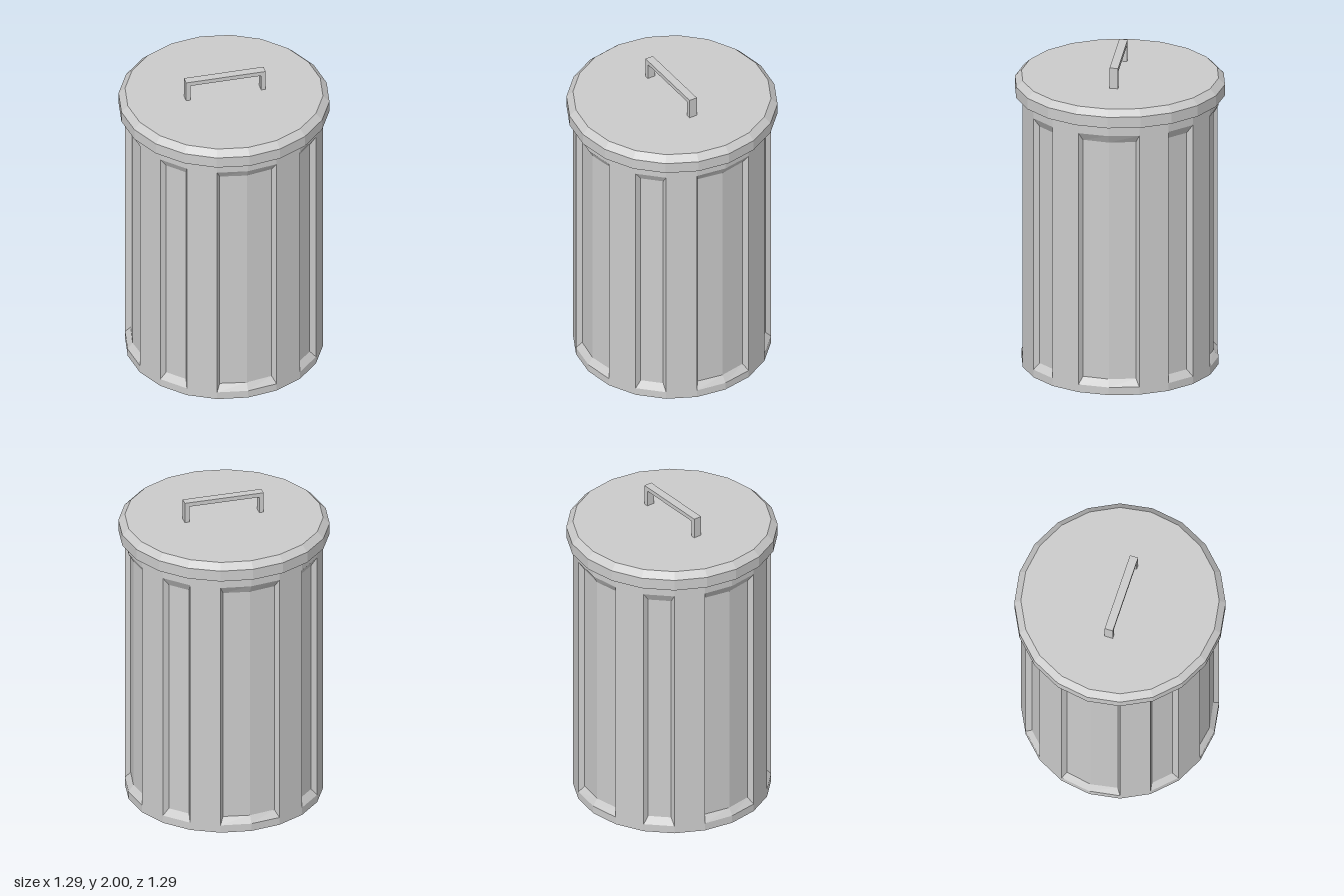
import * as THREE from 'three';

const SIDES = 20, STEP = (Math.PI * 2) / SIDES;
const R = 0.605;                       // body radius
const INSET = 0.024, DEPTH = 0.03;     // panel border width and recess
const Y = { base: 0, low: 0.05, lowIn: 0.093, highIn: 1.637, high: 1.69, top: 1.8 };

const material = new THREE.MeshStandardMaterial({ color: 0xcccccc, flatShading: true });

function addMesh(parent, name, geometry) {
  const mesh = new THREE.Mesh(geometry, material);
  mesh.name = name;
  parent.add(mesh);
  return mesh;
}

// Body wall: plain ribs alternating with recessed panels one or two facets wide
function bodyGeometry() {
  const pos = [];
  const rim = (k) => [R * Math.sin(k * STEP), R * Math.cos(k * STEP)];
  const at = (p, y) => [p[0], y, p[1]];
  const quad = (a, b, c, d) => pos.push(...a, ...b, ...c, ...a, ...c, ...d);
  // strip between a lower and an upper edge, running anticlockwise seen from above
  const strip = (a0, b0, y0, a1, b1, y1) => quad(at(a0, y0), at(b0, y0), at(b1, y1), at(a1, y1));

  function panel(start, count) {
    const mid = (start + count / 2) * STEP;
    const m = [Math.sin(mid), Math.cos(mid)], t = [m[1], -m[0]];
    const outer = [], inner = [];
    for (let i = 0; i <= count; i++) {
      const p = rim(start + i);
      const shift = i === 0 ? INSET : i === count ? -INSET : 0;
      outer.push(p);
      inner.push([0, 1].map((c) => p[c] + shift * t[c] - DEPTH * m[c]));
    }
    for (let i = 0; i < count; i++) {
      const [p, q, a, b] = [outer[i], outer[i + 1], inner[i], inner[i + 1]];
      strip(a, b, Y.lowIn, a, b, Y.highIn);
      strip(p, q, Y.low, a, b, Y.lowIn);
      strip(a, b, Y.highIn, p, q, Y.high);
    }
    // side walls of the recess
    const [p, a, q, b] = [outer[0], inner[0], outer[count], inner[count]];
    quad(at(p, Y.low), at(a, Y.lowIn), at(a, Y.highIn), at(p, Y.high));
    quad(at(b, Y.lowIn), at(q, Y.low), at(q, Y.high), at(b, Y.highIn));
  }

  // bottom and top bands
  for (let k = 0; k < SIDES; k++) {
    const p = rim(k), q = rim(k + 1);
    strip(p, q, Y.base, p, q, Y.low);
    strip(p, q, Y.high, p, q, Y.top);
  }
  // each quarter: wide panel, rib, narrow panel, rib
  for (let k = 0; k < SIDES; k += 5) {
    panel(k - 1, 2);
    panel(k + 2, 1);
    for (const r of [k + 1, k + 3]) strip(rim(r), rim(r + 1), Y.low, rim(r), rim(r + 1), Y.high);
  }

  const geometry = new THREE.BufferGeometry();
  geometry.setAttribute('position', new THREE.Float32BufferAttribute(pos, 3));
  geometry.computeVertexNormals();
  return geometry;
}

export function createModel() {
  const group = new THREE.Group();
  group.name = 'trashCan';

  addMesh(group, 'body', bodyGeometry());

  // floor, facing down, with corners aligned to the wall
  const floor = addMesh(group, 'floor', new THREE.CircleGeometry(R, SIDES));
  floor.rotation.x = Math.PI / 2;

  // lid with a bevelled top edge
  const lidProfile = [[0, 1.757], [0.645, 1.757], [0.645, 1.828], [0.605, 1.867], [0, 1.867]]
    .map(([x, y]) => new THREE.Vector2(x, y));
  addMesh(group, 'lid', new THREE.LatheGeometry(lidProfile, SIDES));

  // square-section handle bent into a staple
  const outline = [[-0.247, 1.865], [-0.219, 1.865], [-0.219, 1.973], [0.225, 1.973],
    [0.225, 1.865], [0.253, 1.865], [0.253, 2], [-0.247, 2]];
  const shape = new THREE.Shape(outline.map(([x, y]) => new THREE.Vector2(x, y)));
  const handle = addMesh(group, 'handle',
    new THREE.ExtrudeGeometry(shape, { depth: 0.052, bevelEnabled: false }));
  handle.position.z = -0.018;

  return group;
}
